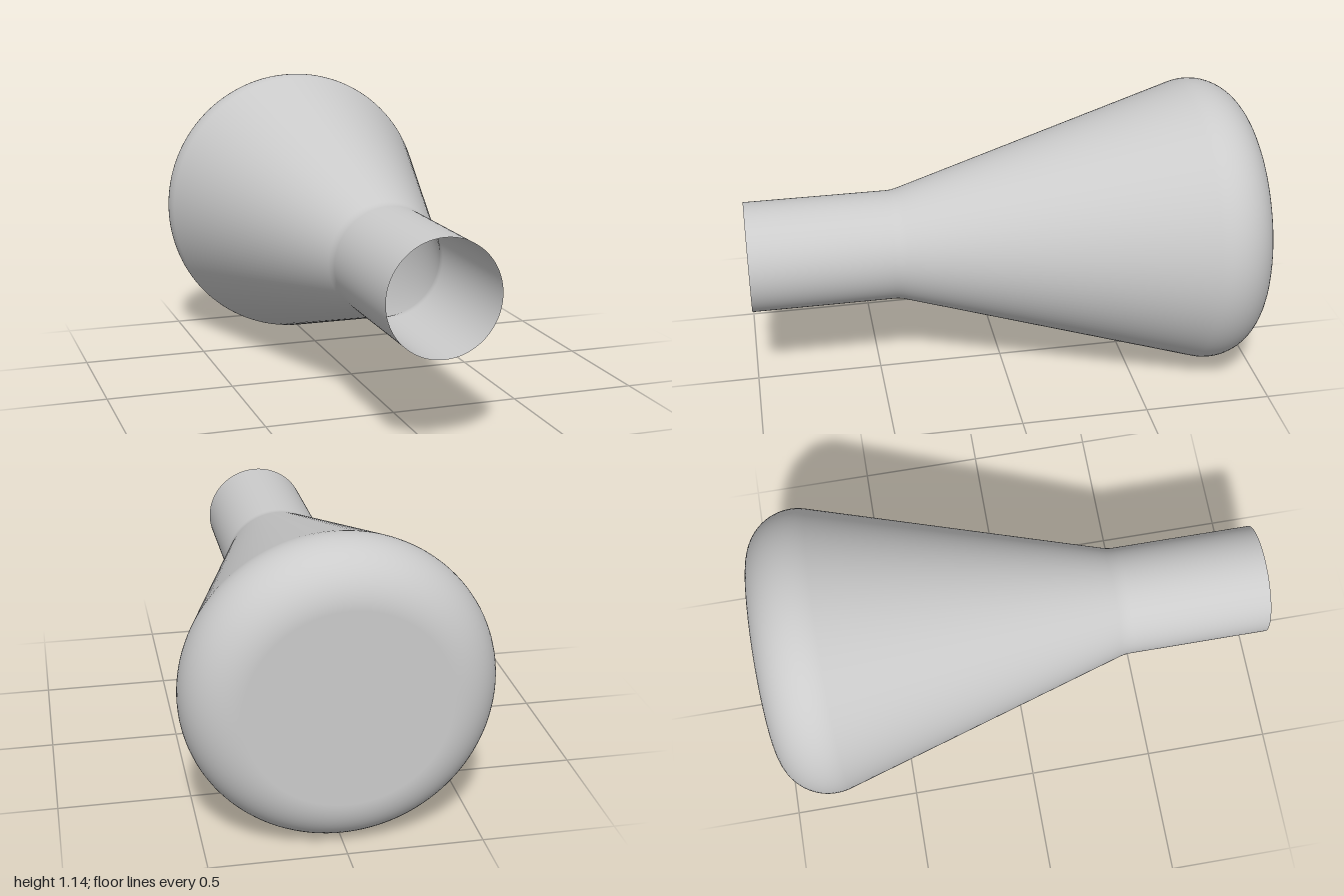
import * as THREE from 'three';

const NECK_R = 0.215, BODY_R = 0.57, ROUND = 0.2;

export function createModel() {
  const group = new THREE.Group();
  group.name = 'flask';
  const material = new THREE.MeshStandardMaterial({ color: 0xcccccc, side: THREE.DoubleSide });

  // profile (radius, distance along the axis) from the base centre to the open mouth
  const points = [new THREE.Vector2(0, -1)];

  // rounded base edge, ending tangent to the cone
  const slope = 0.29, steps = 20;
  for (let i = 0; i <= steps; i++) {
    const a = -Math.PI / 2 + (i / steps) * (Math.PI / 2 + slope);
    points.push(new THREE.Vector2(
      BODY_R - ROUND + ROUND * Math.cos(a),
      -1 + ROUND + ROUND * Math.sin(a)
    ));
  }

  // small blend from the cone into the straight neck
  const bend = new THREE.QuadraticBezierCurve(
    new THREE.Vector2(NECK_R + 0.0075, 0.395),
    new THREE.Vector2(NECK_R, 0.42),
    new THREE.Vector2(NECK_R, 0.445)
  );
  points.push(...bend.getPoints(6), new THREE.Vector2(NECK_R, 1));

  // thin revolved shell lying along z, mouth to the front
  const geometry = new THREE.LatheGeometry(points, 128);
  geometry.rotateX(Math.PI / 2);
  const shell = new THREE.Mesh(geometry, material);
  shell.name = 'flaskShell';
  shell.position.y = BODY_R;
  group.add(shell);
  return group;
}
